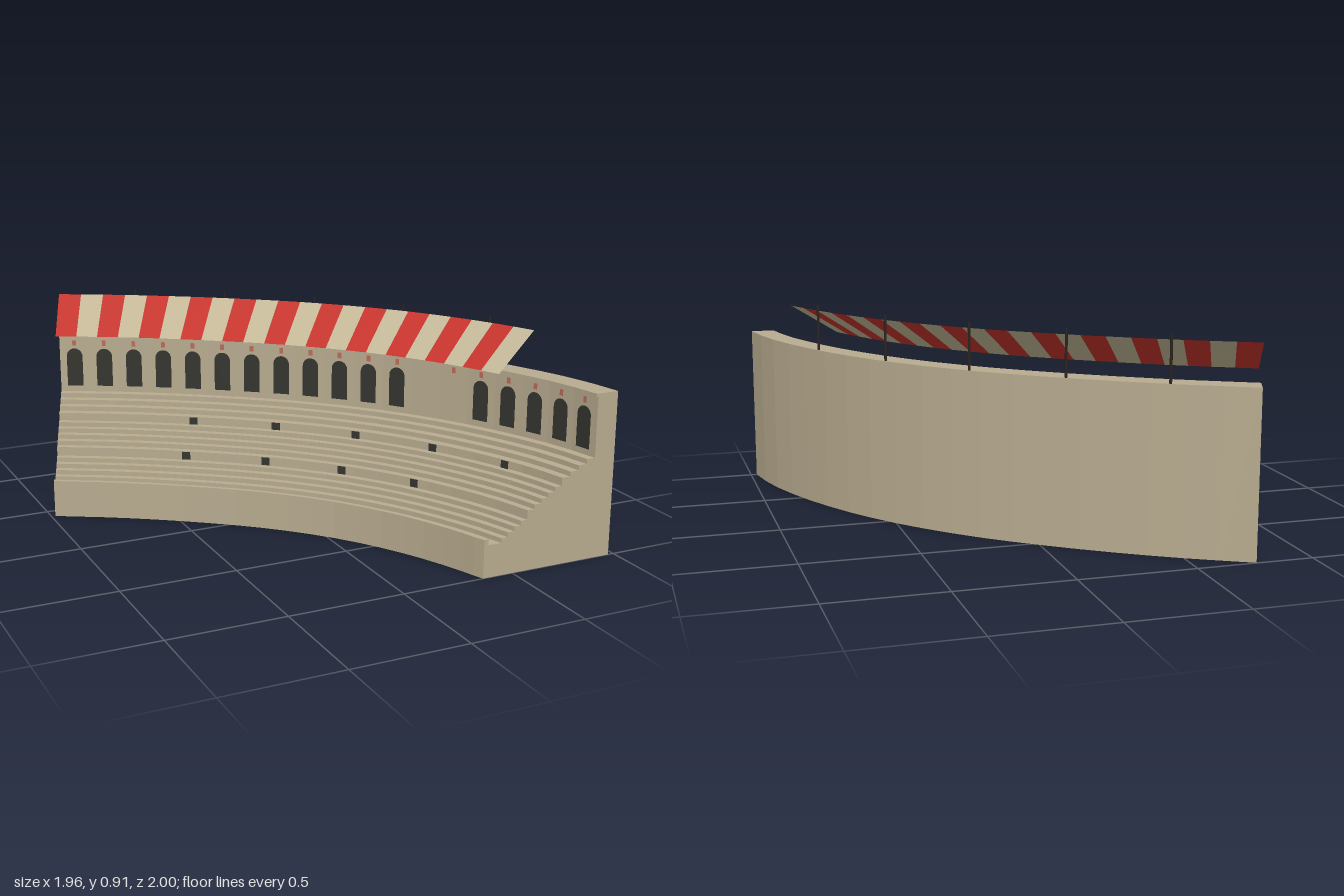
import * as THREE from 'three';

const mat = (name, color, side = THREE.FrontSide) =>
  Object.assign(new THREE.MeshStandardMaterial({ color, side }), { name });

const WIDTH = 0.611;      // inner edge to outer edge
const BAYS = 19;          // facets, one per arcade bay

// Outer edge of the stand: x, z and the direction of the radial section in degrees
const rail = new THREE.CatmullRomCurve3([
  [0.973, 1.0, 0], [0.923, 0.76, 14], [0.76, 0.365, 28], [0.53, 0, 38],
  [0.24, -0.32, 47], [-0.09, -0.59, 54], [-0.44, -0.825, 61], [-0.754, -0.998, 68],
].map(([x, z, deg]) => new THREE.Vector3(x, deg * 0.001, z)), false, 'centripetal');

// Point at fraction v along the stand, d inward from the outer edge, at height y
function at(v, d, y) {
  const p = rail.getPointAt(THREE.MathUtils.clamp(v, 0, 1));
  const a = THREE.MathUtils.degToRad(p.y * 1000);
  return new THREE.Vector3(p.x - d * Math.cos(a), y, p.z + d * Math.sin(a));
}

function flatGeometry(points) {
  const g = new THREE.BufferGeometry().setFromPoints(points);
  g.computeVertexNormals();
  return g;
}

// Sweep a closed profile of [distance from inner edge, height] along the rail, capped
function sweep(profile) {
  const pts = [], n = profile.length;
  const ring = i => profile.map(([s, y]) => at(i / BAYS, WIDTH - s, y));
  for (let i = 0; i < BAYS; i++) {
    const A = ring(i), B = ring(i + 1);
    for (let j = 0; j < n; j++) {
      const k = (j + 1) % n;
      pts.push(A[j], B[k], A[k], A[j], B[j], B[k]);
    }
  }
  const first = ring(0), last = ring(BAYS);
  const contour = profile.map(([s, y]) => new THREE.Vector2(s, y));
  for (const [a, b, c] of THREE.ShapeUtils.triangulateShape(contour, [])) {
    pts.push(first[a], first[b], first[c], last[a], last[c], last[b]);
  }
  return flatGeometry(pts);
}

export function createModel() {
  const model = new THREE.Group();
  model.name = 'amphitheatreSection';
  const stone = mat('stone', 0xb8ab8f);
  const cream = mat('creamCloth', 0xc2b696, THREE.DoubleSide);
  const red = mat('redCloth', 0xc4332c, THREE.DoubleSide);
  const dark = mat('darkOpening', 0x34352f);
  const wood = mat('darkWood', 0x2b241f);
  const pink = mat('fadedRed', 0xbd6a58);

  const add = (name, geometry, material, parent = model) => {
    const m = new THREE.Mesh(geometry, material);
    m.name = name;
    parent.add(m);
    return m;
  };
  const group = name => {
    const g = new THREE.Group();
    g.name = name;
    model.add(g);
    return g;
  };
  // Thin plate facing the arena
  const plate = (name, geometry, material, parent, v, d, y) => {
    const m = add(name, geometry, material, parent);
    m.position.copy(at(v, d, y));
    const t = at(v + 0.01, d, y).sub(at(v - 0.01, d, y));
    m.rotation.y = Math.atan2(t.z, -t.x);
  };

  // Seating: podium parapet, three tiers of steps, rear wall with a lip
  const top = [[0, 0.165], [0.02, 0.165], [0.02, 0.14]];
  const tier = (s, y, tread, rise, count) => {
    for (let i = 0; i < count; i++) {
      top.push([s + i * tread, top[top.length - 1][1]], [s + i * tread, y + i * rise]);
    }
  };
  tier(0.08, 0.16, 0.03, 0.02, 4);
  tier(0.20, 0.26, 0.032, 0.02, 5);
  tier(0.36, 0.375, 0.039, 0.021, 4);
  tier(0.515, 0.46, 0, 0, 1);
  top.push([0.515, 0.697], [0.508, 0.697], [0.508, 0.71]);
  const profile = [[0, 0], [WIDTH, 0], [WIDTH, 0.71], ...top.reverse()];
  add('seatingStand', sweep(profile), stone);

  // Arcade on the rear wall, with a small painted mark over each arch
  const arch = new THREE.Shape();
  arch.moveTo(-0.037, 0);
  arch.lineTo(0.037, 0);
  arch.lineTo(0.037, 0.142);
  arch.absarc(0, 0.142, 0.037, 0, Math.PI, false);
  arch.closePath();
  const archGeo = new THREE.ShapeGeometry(arch, 6);
  const markGeo = new THREE.PlaneGeometry(0.018, 0.026);
  const arcade = group('arcade');
  for (let i = 0; i < BAYS; i++) {
    const v = 1 - (i + 0.5) / BAYS;
    if (i !== 12 && i !== 13) plate('arch', archGeo, dark, arcade, v, 0.102, 0.467);
    if (i !== 12) plate('wallMark', markGeo, pink, arcade, v, 0.102, 0.672);
  }

  // Passage openings in the two tall risers
  const doors = group('passageOpenings');
  const doorGeo = new THREE.PlaneGeometry(0.038, 0.036);
  for (let i = 0; i < 5; i++) {
    const v = 0.142 + i * 0.152;
    plate('upperOpening', doorGeo, dark, doors, v, WIDTH - 0.354, 0.356);
    if (i > 0) plate('lowerOpening', doorGeo, dark, doors, v, WIDTH - 0.194, 0.241);
  }

  // Striped awning sloping down toward the arena
  const stripes = 22, start = 0.162, cloth = [[], []];
  for (let i = 0; i < stripes; i++) {
    const v0 = 1 - (1 - start) * i / stripes, v1 = 1 - (1 - start) * (i + 1) / stripes;
    const a = at(v0, 0.255, 0.74), b = at(v1, 0.255, 0.74);
    const c = at(v1, 0.015, 0.885), d = at(v0, 0.015, 0.885);
    cloth[i % 2].push(a, b, c, a, c, d);
  }
  const awning = group('awning');
  add('redStripes', flatGeometry(cloth[0]), red, awning);
  add('creamStripes', flatGeometry(cloth[1]), cream, awning);

  // Masts along the rear wall
  const masts = group('masts');
  const mastGeo = new THREE.CylinderGeometry(0.006, 0.006, 0.21, 6);
  for (let i = 0; i < 5; i++) {
    add('mast', mastGeo, wood, masts).position.copy(at(0.245 + i * 0.156, 0.008, 0.805));
  }
  return model;
}
